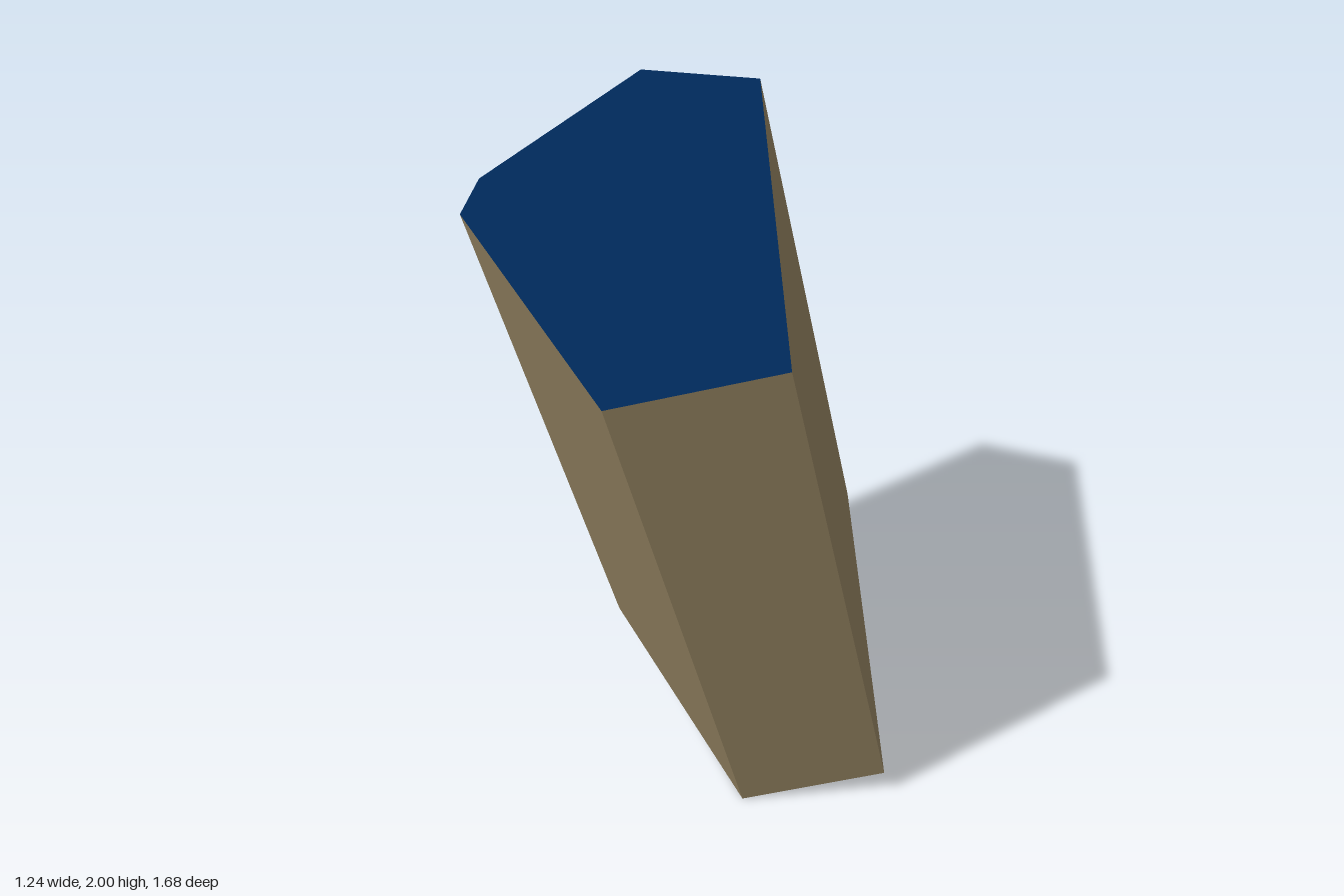
import * as THREE from 'three';

const mat = (name, color) => {
  const m = new THREE.MeshStandardMaterial({ color });
  m.name = name;
  return m;
};

// Flat-faced mesh from convex polygons, each counter-clockwise from outside
function facesMesh(name, polygons, material) {
  const pos = [];
  for (const p of polygons)
    for (let i = 1; i < p.length - 1; i++)
      for (const v of [p[0], p[i], p[i + 1]]) pos.push(v.x, v.y, v.z);
  const geo = new THREE.BufferGeometry();
  geo.setAttribute('position', new THREE.Float32BufferAttribute(pos, 3));
  geo.computeVertexNormals();
  const mesh = new THREE.Mesh(geo, material);
  mesh.name = name;
  return mesh;
}

export function createModel() {
  const group = new THREE.Group();
  group.name = 'tiltedPrism';

  // Six top corners, clockwise seen from above
  const top = [
    [-0.363, 1.969, -0.35],
    [-0.004, 2.0, -0.344],
    [0.472, 1.745, 0.655],
    [0.081, 1.652, 0.838],
    [-0.604, 1.758, 0.27],
    [-0.622, 1.797, 0.13],
  ].map((p) => new THREE.Vector3(...p));

  // The base repeats the top outline slightly smaller, from its lowest corner
  const lowTop = top[3];
  const lowBase = new THREE.Vector3(0.237, 0, 0.326);
  const base = top.map((p) => p.clone().sub(lowTop).multiplyScalar(0.982).add(lowBase));

  // Side walls
  const walls = top.map((p, i) => {
    const j = (i + 1) % top.length;
    return [p, top[j], base[j], base[i]];
  });

  group.add(
    facesMesh('sideWalls', walls, mat('tan', 0x988764)),
    facesMesh('topCap', [[...top].reverse()], mat('navy', 0x002757)),
    facesMesh('bottomCap', [base], mat('lightBlue', 0x62b0cf))
  );
  return group;
}
